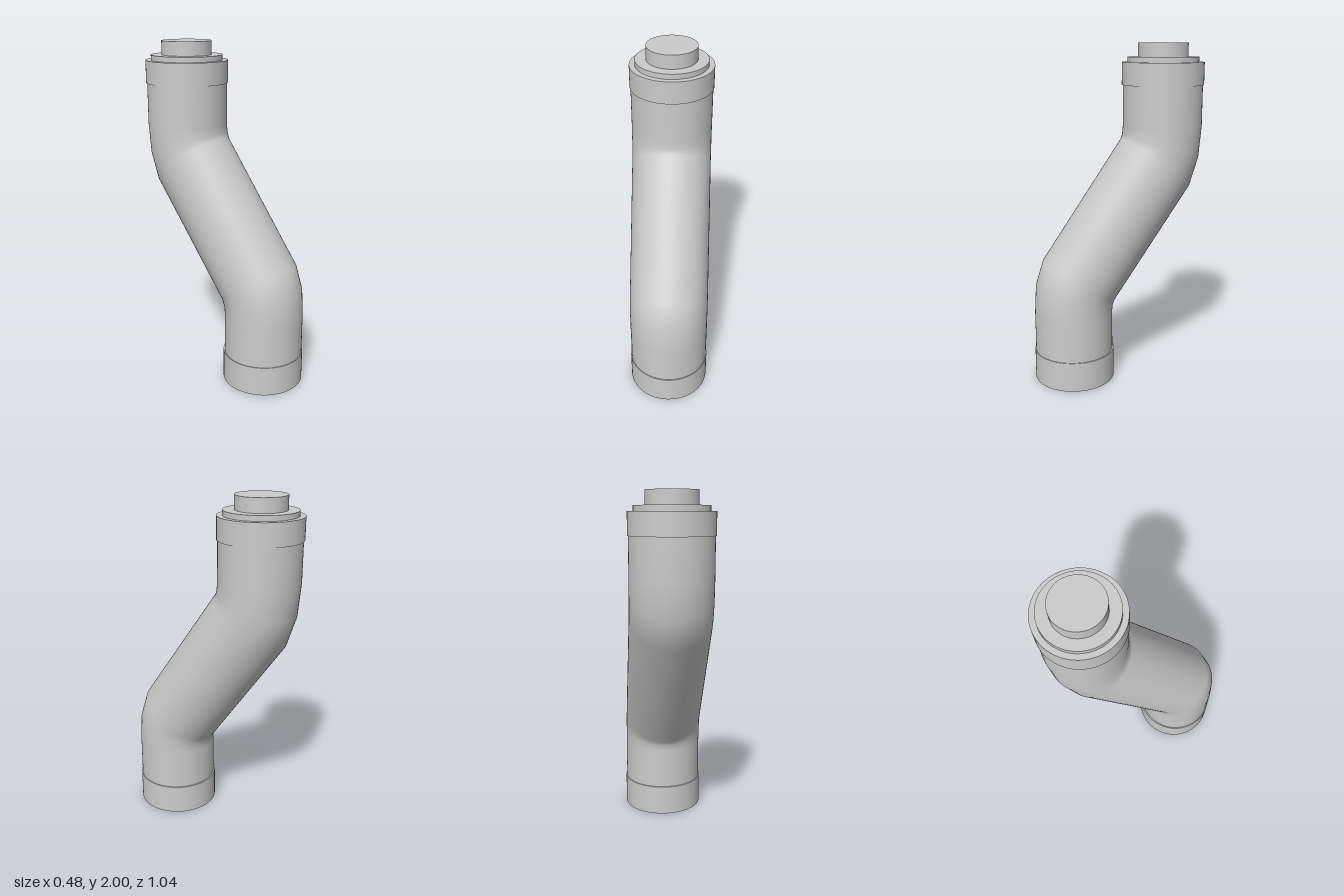
import * as THREE from 'three';

const SIDES = 64;
const OFFSET = 0.28; // how far each end sits from the middle

export function createModel() {
  const group = new THREE.Group();
  const material = new THREE.MeshStandardMaterial({ color: 0xcccccc });

  // Upright round part between two heights
  function disc(name, radius, y0, y1, z) {
    const geometry = new THREE.CylinderGeometry(radius, radius, y1 - y0, SIDES);
    const mesh = new THREE.Mesh(geometry, material);
    mesh.name = name;
    mesh.position.set(0, (y0 + y1) / 2, z);
    group.add(mesh);
  }

  // Offset pipe: each ring is given by its front and back point [z, y]
  const rings = [
    [[0.516, 0.1], [0.048, 0.1]],
    [[0.516, 0.42], [0.048, 0.42]],
    [[0.506, 0.59], [0.045, 0.452]],
    [[0.457, 0.743], [0.034, 0.482]],
    [[-0.034, 1.45], [-0.438, 1.152]],
    [[-0.042, 1.475], [-0.496, 1.33]],
    [[-0.046, 1.52], [-0.514, 1.527]],
    [[-0.046, 1.85], [-0.514, 1.85]],
  ];
  const positions = [];
  const indices = [];
  rings.forEach(([front, back], r) => {
    for (let i = 0; i < SIDES; i++) {
      const a = (i / SIDES) * Math.PI * 2;
      const t = (1 - Math.cos(a)) / 2; // 0 at the front, 1 at the back
      positions.push(
        0.236 * Math.sin(a),
        THREE.MathUtils.lerp(front[1], back[1], t),
        THREE.MathUtils.lerp(front[0], back[0], t),
      );
      if (r === rings.length - 1) continue;
      const p = r * SIDES + i;
      const q = r * SIDES + ((i + 1) % SIDES);
      indices.push(p, q, q + SIDES, p, q + SIDES, p + SIDES);
    }
  });
  const pipeGeometry = new THREE.BufferGeometry();
  pipeGeometry.setAttribute('position', new THREE.Float32BufferAttribute(positions, 3));
  pipeGeometry.setIndex(indices);
  pipeGeometry.computeVertexNormals();
  const pipe = new THREE.Mesh(pipeGeometry, material);
  pipe.name = 'offsetPipe';
  group.add(pipe);

  // End collars and the stepped spigot on top
  disc('bottomCollar', 0.241, 0, 0.18, OFFSET);
  disc('topCollar', 0.241, 1.76, 1.89, -OFFSET);
  disc('topStep', 0.209, 1.88, 1.92, -OFFSET);
  disc('topSpigot', 0.146, 1.91, 2, -OFFSET);

  return group;
}
